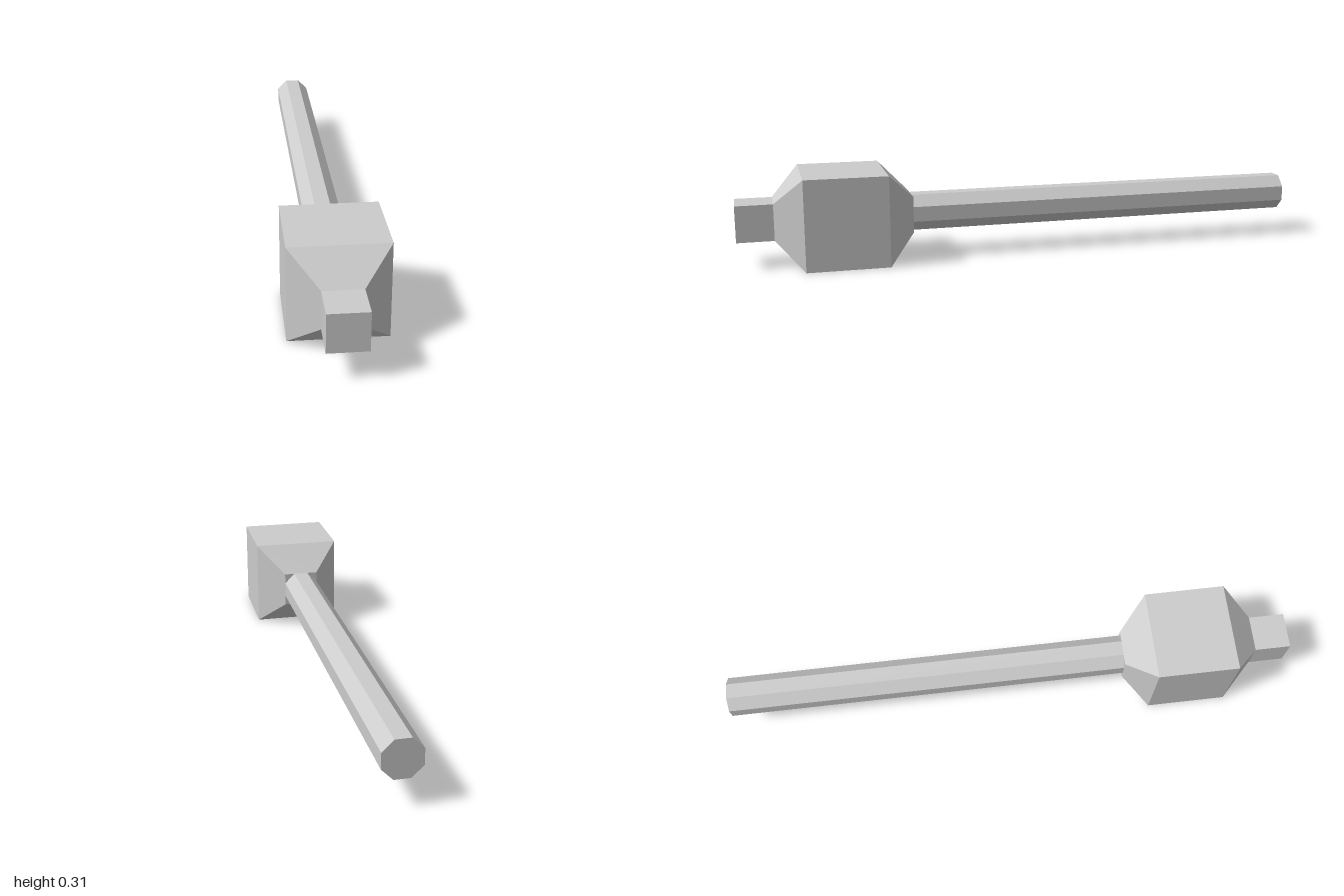
import * as THREE from 'three';

const AXIS_Y = 0.156; // height of the shared centre line

export function createModel() {
  const group = new THREE.Group();
  const grey = new THREE.MeshStandardMaterial({ color: 0xcccccc, flatShading: true });
  grey.name = 'plain grey';

  // Prism along z with flat sides facing up, down, left and right.
  // profile: [half width across flats, z] from back to front
  function addPrism(name, sides, profile) {
    const toCorner = 1 / Math.cos(Math.PI / sides);
    const points = profile.map(([half, z]) => new THREE.Vector2(half * toCorner, z));
    const geometry = new THREE.LatheGeometry(points, sides, Math.PI / sides);
    geometry.rotateX(Math.PI / 2);
    const mesh = new THREE.Mesh(geometry, grey);
    mesh.name = name;
    mesh.position.y = AXIS_Y;
    group.add(mesh);
  }

  // Octagonal handle
  addPrism('handle', 8, [[0, -1], [0.0625, -1], [0.0625, 0.406], [0, 0.406]]);

  // Square block with tapered ends
  addPrism('head', 4, [[0, 0.406], [0.0625, 0.406], [0.156, 0.5], [0.156, 0.781], [0.0625, 0.875]]);

  // Small square stub at the front
  addPrism('tip', 4, [[0.0625, 0.875], [0.0625, 1], [0, 1]]);

  return group;
}
